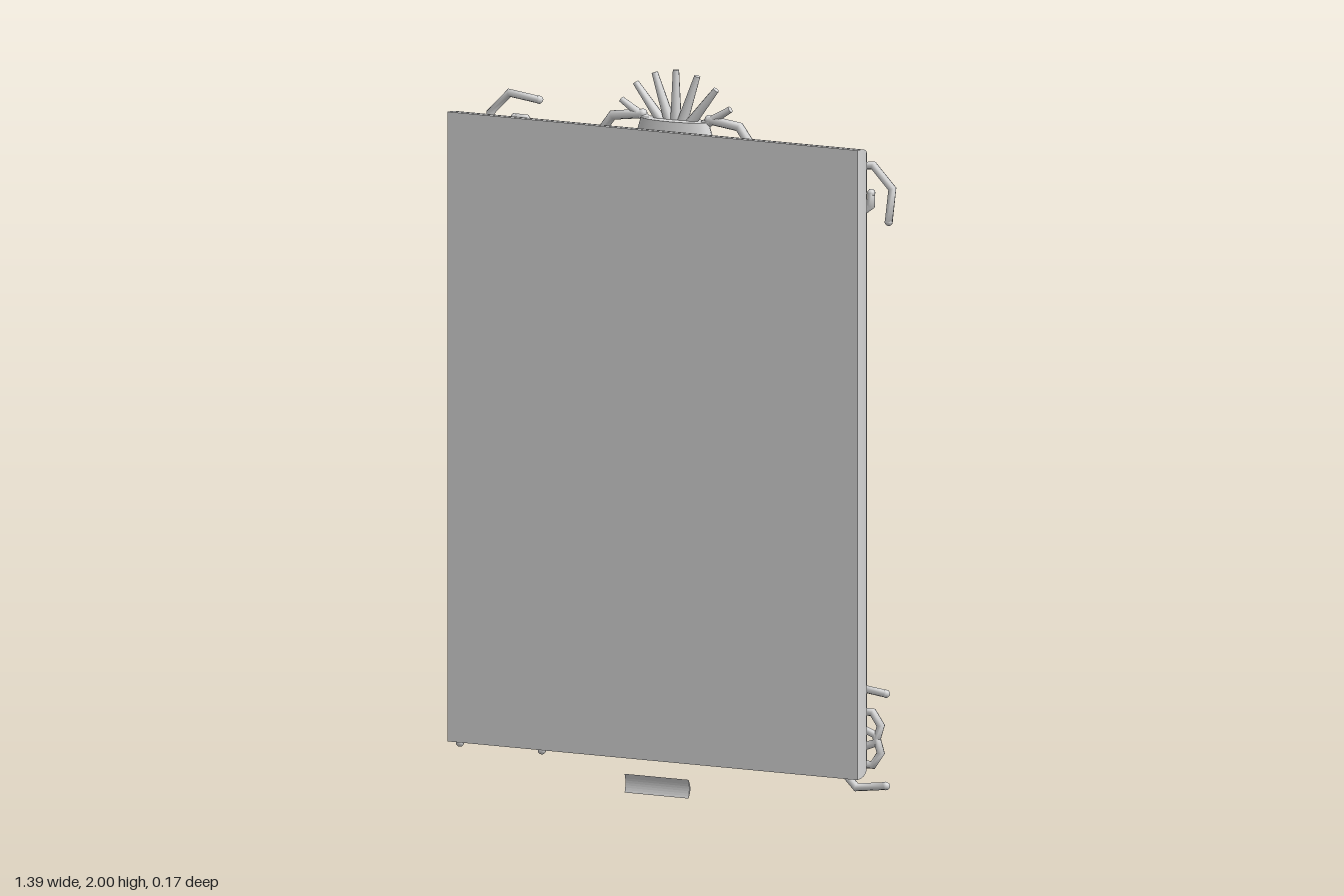
import * as THREE from 'three';
import { toCreasedNormals } from 'three/addons/utils/BufferGeometryUtils.js';

const W = 0.642, CY = 0.975, H = 0.875; // frame half width, centre height, half height

// Coarse scroll: angle a0 to a1 (degrees) while the radius goes r0 to r1
class Spiral extends THREE.Curve {
  constructor(a0, a1, r0, r1) {
    super();
    Object.assign(this, { a0, a1, r0, r1 });
  }
  getPoint(t, target = new THREE.Vector3()) {
    const a = THREE.MathUtils.degToRad(this.a0 + (this.a1 - this.a0) * t);
    const r = this.r0 + (this.r1 - this.r0) * t;
    return target.set(r * Math.cos(a), r * Math.sin(a), 0);
  }
  // Equal steps of angle, not of length
  getUtoTmapping(u) {
    return u;
  }
}

// Moulding profile (inset, z) swept round a rectangle with mitred corners
function mouldingGeometry(profile) {
  const signs = [[1, 1], [-1, 1], [-1, -1], [1, -1]];
  const point = (k, [d, z]) => [signs[k % 4][0] * (W - d), CY + signs[k % 4][1] * (H - d), z];
  const pos = [];
  for (let k = 0; k < 4; k++) {
    for (let i = 0; i < profile.length - 1; i++) {
      const a = point(k, profile[i]), b = point(k, profile[i + 1]);
      const c = point(k + 1, profile[i]), d = point(k + 1, profile[i + 1]);
      pos.push(...a, ...b, ...c, ...b, ...d, ...c);
    }
  }
  const g = new THREE.BufferGeometry();
  g.setAttribute('position', new THREE.Float32BufferAttribute(pos, 3));
  return toCreasedNormals(g, 0.7);
}

export function createModel() {
  const root = new THREE.Group();
  root.name = 'ornateMirror';
  const grey = new THREE.MeshStandardMaterial({ color: 0xd8d8d8 });
  grey.name = 'plaster grey';

  const add = (parent, name, geometry, x = 0, y = 0, z = 0) => {
    const m = new THREE.Mesh(geometry, grey);
    m.name = name;
    m.position.set(x, y, z);
    parent.add(m);
    return m;
  };

  // Tube scroll with rounded ends
  const scroll = (parent, name, curve, segments, radius, x, y, z, side) => {
    const g = new THREE.Group();
    g.name = name;
    g.position.set(x, y, z);
    g.rotation.y = side < 0 ? Math.PI : 0;
    add(g, name + 'Tube', new THREE.TubeGeometry(curve, segments, radius, 8));
    for (const t of [0, 1]) {
      const p = curve.getPoint(t);
      add(g, name + 'End', new THREE.SphereGeometry(radius, 8, 6), p.x, p.y, 0);
    }
    parent.add(g);
  };

  // Frame moulding: rounded outer side, hollow inner side, bead round the pane
  const profile = [];
  for (let i = 0; i <= 10; i++) {
    const t = (i / 10) * Math.PI / 2;
    profile.push([0.075 * (1 - Math.cos(t)), 0.086 - 0.128 * Math.sin(t)]);
  }
  profile.push([0.095, -0.04], [0.108, -0.03], [0.118, -0.012], [0.126, 0.012], [0.138, 0.028],
    [0.144, 0.024], [0.155, 0.024], [0.168, 0.03], [0.178, 0.042], [0.192, 0.055]);
  add(root, 'frameMoulding', mouldingGeometry(profile));

  // Flat panel closing the +z side, and the mirror pane
  add(root, 'backingPanel', new THREE.BoxGeometry(W * 2, H * 2, 0.004), 0, CY, 0.085);
  add(root, 'mirrorPane', new THREE.BoxGeometry((W - 0.188) * 2, (H - 0.188) * 2, 0.008), 0, CY, 0.058);

  // Corner ornaments: boss with a mirrored pair of scrolls, alternately turned
  const cornerCurve = new Spiral(-38, 370, 0.112, 0.034);
  for (const sx of [1, -1]) {
    for (const sy of [1, -1]) {
      const corner = new THREE.Group();
      corner.name = 'cornerOrnament';
      corner.position.set(sx * 0.543, CY + sy * 0.78, -0.036);
      corner.rotation.z = sx * sy > 0 ? 0 : Math.PI / 2;
      const boss = add(corner, 'cornerBoss', new THREE.SphereGeometry(0.046, 16, 10), 0, 0, -0.005);
      boss.scale.z = 0.4;
      for (const side of [1, -1]) {
        scroll(corner, 'cornerScroll', cornerCurve, 8, 0.012, side * 0.04, -0.05, 0, side);
      }
      root.add(corner);
    }
  }

  // Crest: oval base, fan of rays, two large scrolls
  const crest = new THREE.Group();
  crest.name = 'crest';
  root.add(crest);
  const base = add(crest, 'crestBase', new THREE.CylinderGeometry(0.105, 0.122, 0.055, 20), 0, 1.836, -0.038);
  base.scale.z = 0.38;
  for (let i = -3; i <= 3; i++) {
    const a = THREE.MathUtils.degToRad(i * 19.5);
    const ray = add(crest, 'crestRay', new THREE.CylinderGeometry(0.009, 0.016, 0.14, 8),
      -Math.sin(a) * 0.13, 1.8 + Math.cos(a) * 0.13, -0.045);
    ray.rotation.z = a;
  }
  for (const side of [1, -1]) {
    scroll(crest, 'crestScroll', new Spiral(110, -430, 0.128, 0.025), 12, 0.014, side * 0.148, 1.75, -0.045, side);
  }

  // Pointed leaf on the lower rail
  const leaf = new THREE.Shape();
  leaf.moveTo(0, 0.18);
  leaf.quadraticCurveTo(0.06, 0.19, 0.065, 0.24);
  [[0.085, 0.315], [0.032, 0.275], [0, 0.345], [-0.032, 0.275], [-0.085, 0.315], [-0.065, 0.24]]
    .forEach(([x, y]) => leaf.lineTo(x, y));
  leaf.quadraticCurveTo(-0.06, 0.19, 0, 0.18);
  add(root, 'lowerLeaf', new THREE.ExtrudeGeometry(leaf, { depth: 0.008, bevelEnabled: false }), 0, 0, -0.046);

  // Small curved plaque below the frame, section drawn as (z, y)
  const section = new THREE.Shape();
  section.moveTo(0.065, 0);
  section.quadraticCurveTo(0.043, 0.026, 0.065, 0.052);
  section.quadraticCurveTo(0.055, 0.026, 0.065, 0);
  const plaque = new THREE.ExtrudeGeometry(section, { depth: 0.2, bevelEnabled: false, curveSegments: 8 });
  plaque.translate(0, 0, -0.1);
  plaque.rotateY(-Math.PI / 2);
  add(root, 'plaque', plaque);

  return root;
}
